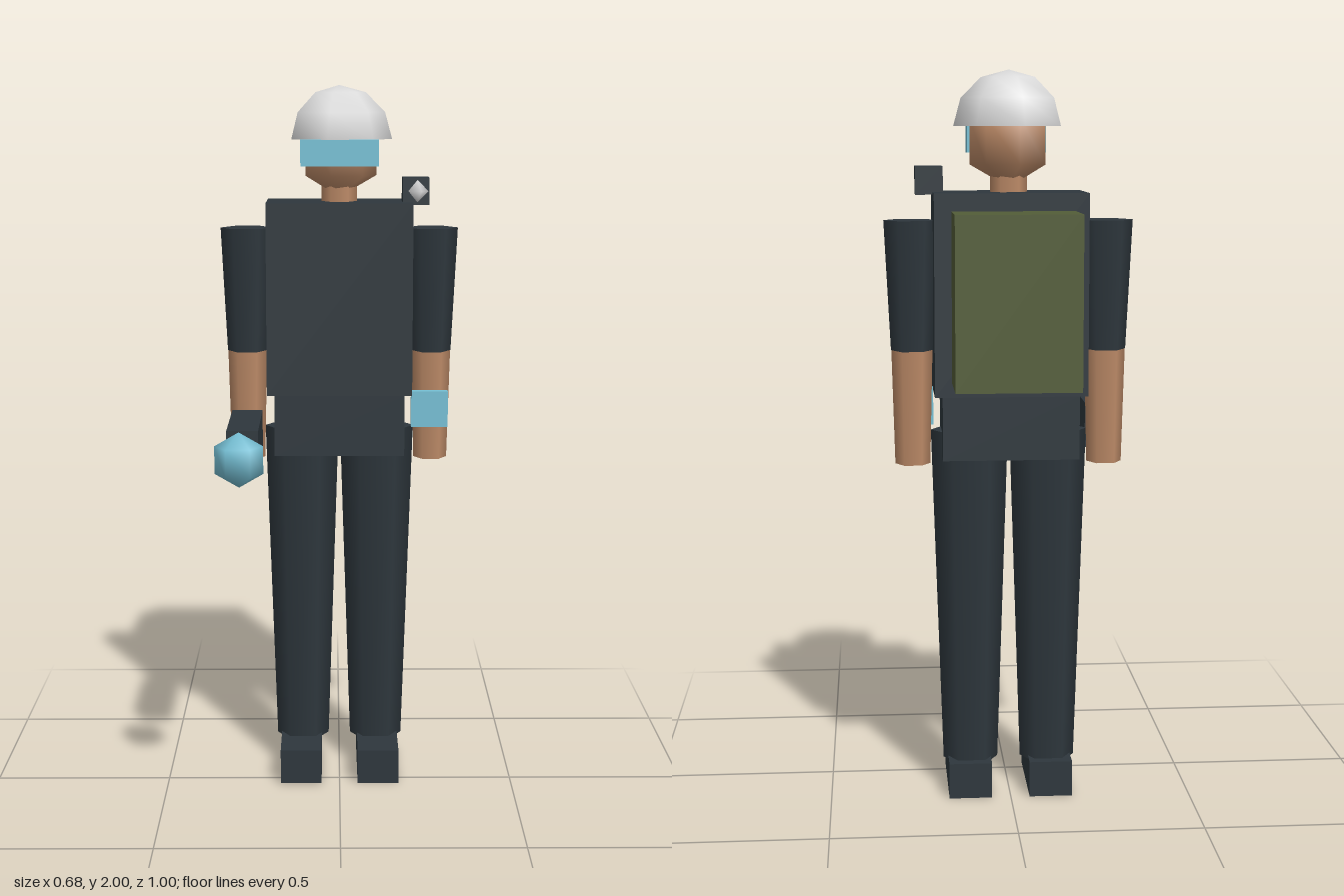
import * as THREE from 'three';

const mat = (name, color) => {
  const m = new THREE.MeshStandardMaterial({ color });
  m.name = name;
  return m;
};

export function createModel() {
  const model = new THREE.Group();
  model.name = 'explorer';
  const uniform = mat('dark uniform', 0x2e373d);
  const skin = mat('skin', 0xbc8a67);
  const olive = mat('olive canvas', 0x535d38);
  const blue = mat('pale blue', 0x76c0d5);
  const white = mat('off white', 0xdadada);
  const bodyZ = -0.143;

  const add = (name, geometry, material, x, y, z) => {
    const mesh = new THREE.Mesh(geometry, material);
    mesh.name = name;
    mesh.position.set(x, y, z);
    model.add(mesh);
    return mesh;
  };
  // Box given by its bottom and top heights and its back and front depths
  const box = (name, material, x, w, y0, y1, z0, z1) =>
    add(name, new THREE.BoxGeometry(w, y1 - y0, z1 - z0), material, x, (y0 + y1) / 2, (z0 + z1) / 2);
  // Tapered six-sided limb with corners on its left and right
  const limb = (name, material, x, rTop, rBottom, y0, y1) =>
    add(name, new THREE.CylinderGeometry(rTop, rBottom, y1 - y0, 6).rotateY(Math.PI / 6),
      material, x, (y0 + y1) / 2, bodyZ);
  // Low-poly ball with a corner towards +x
  const ball = (r, sides, rows) => new THREE.SphereGeometry(r, sides, rows).rotateY(Math.PI);

  // Body
  box('torso', uniform, 0, 0.412, 1.135, 1.677, -0.263, -0.025);
  box('hips', uniform, 0, 0.37, 0.96, 1.135, -0.248, -0.032);

  // Limbs
  for (const [side, s] of [['left', 1], ['right', -1]]) {
    limb(side + 'UpperArm', uniform, s * 0.264, 0.074, 0.057, 1.25, 1.602);
    limb(side + 'Forearm', skin, s * 0.264, 0.056, 0.048, 0.937, 1.25);
    limb(side + 'Leg', uniform, s * 0.108, 0.106, 0.076, 0.09, 1.03);
    box(side + 'Foot', uniform, s * 0.112, 0.119, 0, 0.1, -0.237, 0.043);
  }

  // Head
  limb('neck', skin, 0, 0.05, 0.05, 1.66, 1.76);
  add('head', ball(0.122, 7, 3), skin, 0, 1.811, bodyZ);
  box('visor', blue, 0, 0.216, 1.78, 1.852, -0.065, 0.002);

  // Helmet dome and its flat underside
  const dome = new THREE.SphereGeometry(0.149, 7, 3, 0, Math.PI * 2, 0, Math.PI / 2).rotateY(Math.PI);
  add('helmet', dome, white, 0, 1.851, bodyZ - 0.001);
  add('helmetUnderside', new THREE.CircleGeometry(0.149, 7).rotateX(Math.PI / 2),
    white, 0, 1.851, bodyZ - 0.001);

  // Equipment
  box('backpack', olive, -0.001, 0.326, 1.18, 1.632, -0.5, -0.308);
  box('shoulderLampBody', uniform, 0.215, 0.074, 1.67, 1.745, -0.16, -0.065);
  add('shoulderLampBulb', ball(0.031, 5, 2), white, 0.218, 1.709, -0.057);
  box('wristScreen', blue, 0.258, 0.105, 1.037, 1.14, -0.1, -0.068);
  box('handheldTool', uniform, -0.263, 0.086, 0.962, 1.088, -0.068, 0.257);
  add('energyOrb', ball(0.073, 6, 3), blue, -0.263, 1.048, 0.445);

  return model;
}
